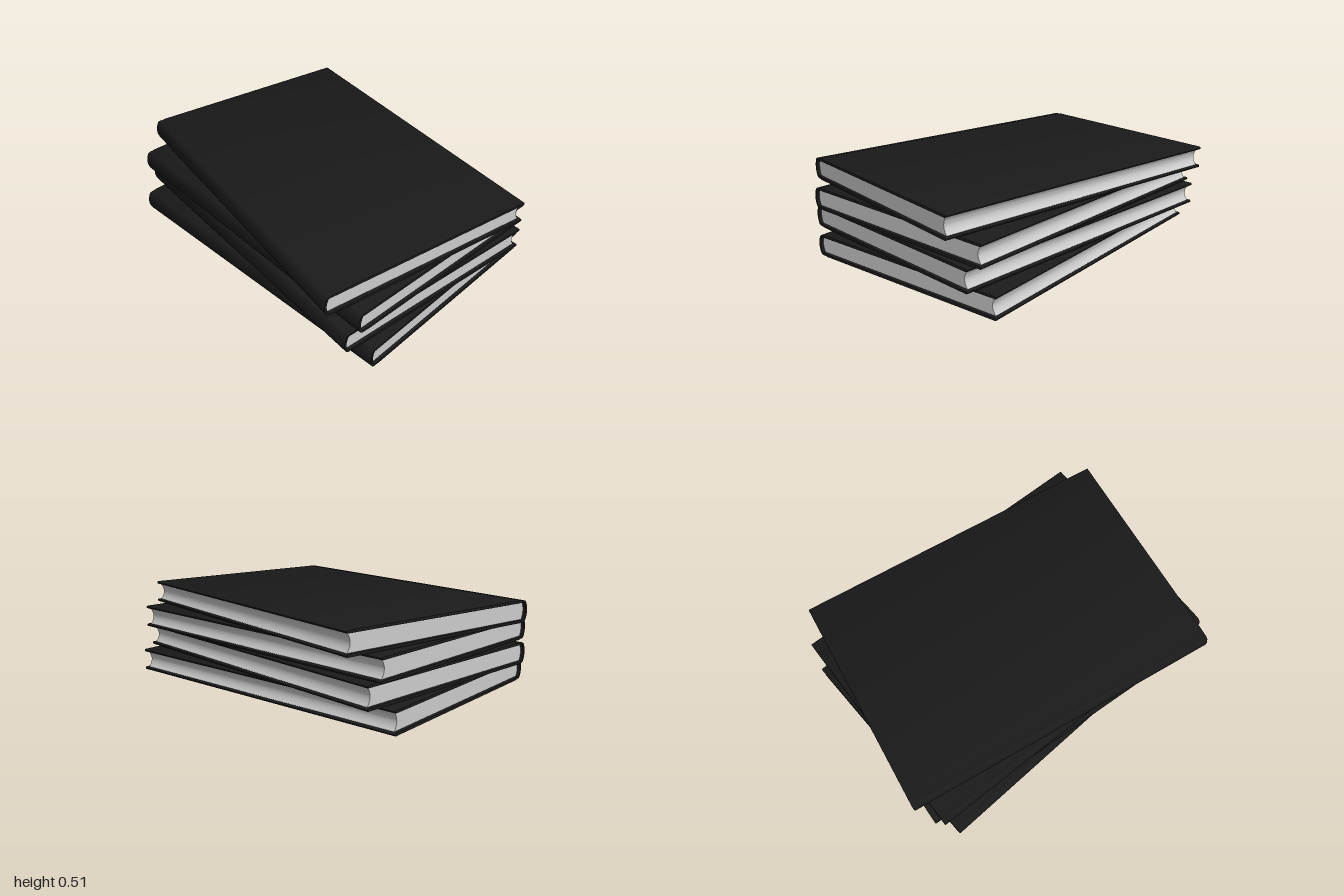
import * as THREE from 'three';
import { toCreasedNormals } from 'three/addons/utils/BufferGeometryUtils.js';

const HALF_W = 0.64, LENGTH = 1.856, HEIGHT = 0.1265, BOARD = 0.016, PITCH = 0.1275;
const MARGIN = 0.018; // how far the covers overhang the pages

const coverMaterial = new THREE.MeshStandardMaterial({ color: 0x1a1a1a });
const pageMaterial = new THREE.MeshStandardMaterial({ color: 0xcccccc });

// Extrude a cross-section (x, y) along z, centred
function extrudeAlongZ(shape, length, bevel) {
  const geometry = new THREE.ExtrudeGeometry(shape, {
    depth: length - 2 * bevel,
    curveSegments: 12,
    bevelEnabled: bevel > 0,
    bevelThickness: bevel,
    bevelSize: bevel,
    bevelOffset: -bevel,
    bevelSegments: 2,
  });
  geometry.translate(0, 0, -length / 2 + bevel);
  return toCreasedNormals(geometry, 0.7);
}

// Two boards joined by a rounded spine, in one wrap-around section
function coverShape() {
  const h = HEIGHT, t = BOARD, w = HALF_W, r = t / 2;
  const s = new THREE.Shape();
  s.moveTo(-0.58, 0);
  s.lineTo(w - r, 0);
  s.absarc(w - r, r, r, -Math.PI / 2, Math.PI / 2, false); // lower fore edge
  s.lineTo(-0.613, t);
  s.quadraticCurveTo(-0.638, h / 2, -0.613, h - t); // inside of the spine
  s.lineTo(w - r, h - t);
  s.absarc(w - r, h - r, r, -Math.PI / 2, Math.PI / 2, false); // upper fore edge
  s.lineTo(-0.58, h);
  s.quadraticCurveTo(-0.592, h - 0.004, -0.606, h - 0.003); // hinge
  s.quadraticCurveTo(-0.623, h - 0.003, -0.629, h - 0.016);
  s.quadraticCurveTo(-0.651, h / 2, -0.629, 0.016); // outside of the spine
  s.quadraticCurveTo(-0.623, 0.003, -0.606, 0.003);
  s.quadraticCurveTo(-0.592, 0.004, -0.58, 0);
  return s;
}

// Page block with a rounded back and a hollow fore edge
function pageShape() {
  const h = HEIGHT, y0 = BOARD - 0.001, y1 = h - y0, x = HALF_W - 0.015;
  const s = new THREE.Shape();
  s.moveTo(-0.612, y0);
  s.lineTo(x, y0);
  s.quadraticCurveTo(x - 0.042, h / 2, x, y1);
  s.lineTo(-0.612, y1);
  s.quadraticCurveTo(-0.637, h / 2, -0.612, y0);
  return s;
}

export function createModel() {
  const stack = new THREE.Group();
  stack.name = 'bookStack';

  const coverGeometry = extrudeAlongZ(coverShape(), LENGTH, 0.003);
  const pageGeometry = extrudeAlongZ(pageShape(), LENGTH - 2 * MARGIN, 0);

  // Turn of each book in degrees, from the bottom up
  [4.5, -2.3, 1.1, -7.2].forEach((turn, i) => {
    const book = new THREE.Group();
    book.name = `book${i + 1}`;
    const cover = new THREE.Mesh(coverGeometry, coverMaterial);
    cover.name = 'cover';
    const pages = new THREE.Mesh(pageGeometry, pageMaterial);
    pages.name = 'pages';
    book.add(cover, pages);
    book.position.y = i * PITCH;
    book.rotation.y = THREE.MathUtils.degToRad(turn);
    stack.add(book);
  });

  return stack;
}
